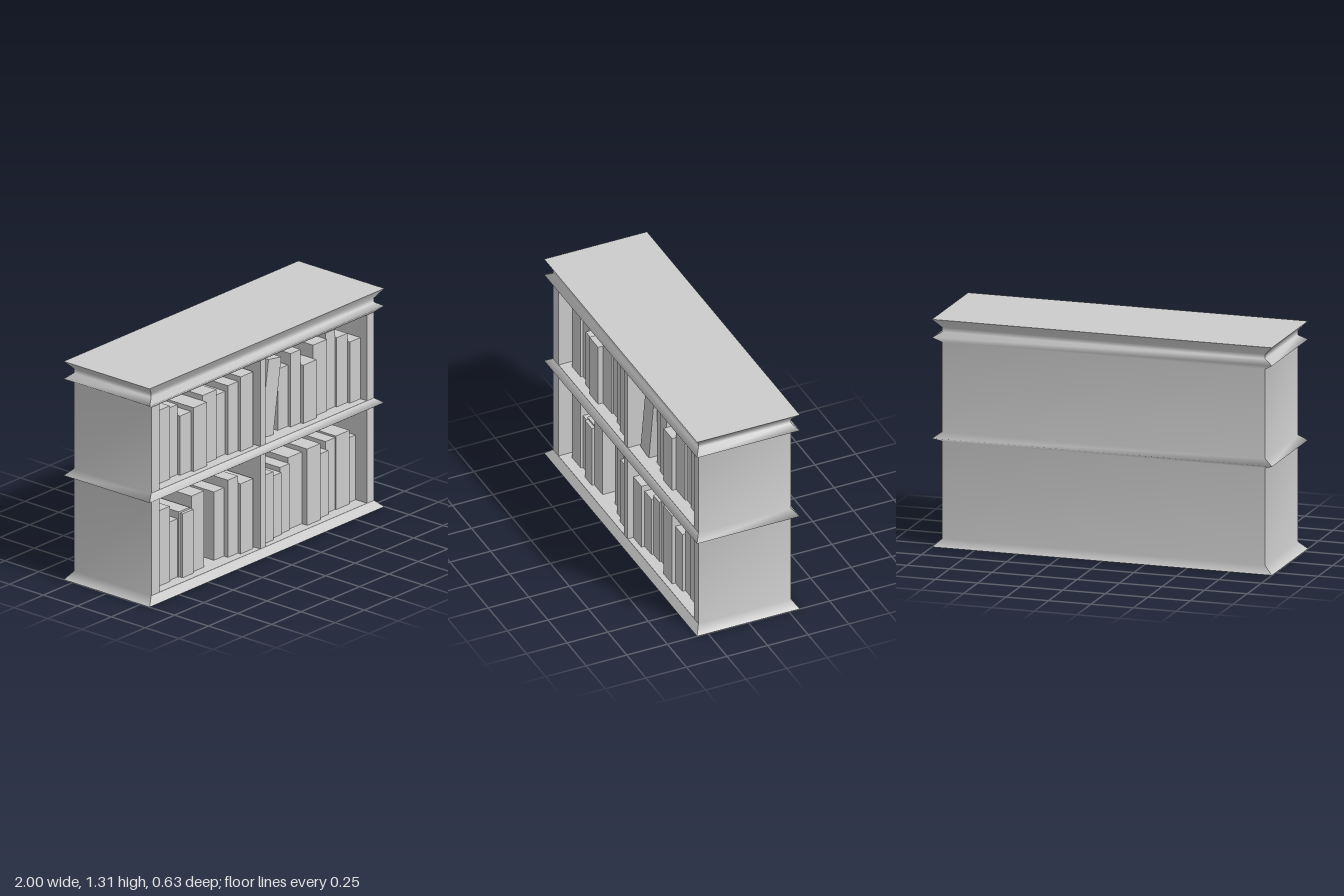
import * as THREE from 'three';

const W = 0.95, D = 0.285;          // half width and half depth of the carcass
const FX = 0.05, FZ = 0.032;        // how far the mouldings flare sideways / forwards
const BACK = -0.2;                  // inner back wall

// moulding profiles: [height, flare 0..1]
const PLINTH = [[0, 1], [0.045, 0]];
const LEDGE = [[0.605, 0], [0.625, 1], [0.66, 0]];
const CORNICE = [[1.175, 0], [1.205, 1], [1.235, 0], [1.26, 0], [1.31, 1]];

export function createModel() {
  const group = new THREE.Group();
  const mat = new THREE.MeshStandardMaterial({ color: 0xcccccc });

  const add = (geo, name) => {
    const mesh = new THREE.Mesh(geo, mat);
    mesh.name = name;
    group.add(mesh);
    return mesh;
  };

  const box = (name, x0, x1, y0, y1, z0, z1) => {
    const geo = new THREE.BoxGeometry(x1 - x0, y1 - y0, z1 - z0);
    const mesh = add(geo, name);
    mesh.position.set((x0 + x1) / 2, (y0 + y1) / 2, (z0 + z1) / 2);
    return mesh;
  };

  // One mitred face of the carcass, swept along a profile and turned to its side
  const strip = (name, profile, turn) => {
    const side = turn % 2 === 1;
    const [hw, fw, hd, fd] = side ? [D, FZ, W, FX] : [W, FX, D, FZ];
    const pos = [], idx = [];
    profile.forEach(([y, f], i) => {
      const w = hw + f * fw, d = hd + f * fd;
      pos.push(-w, y, d, w, y, d);
      if (i) {
        const a = 2 * (i - 1);
        idx.push(a, a + 1, a + 3, a, a + 3, a + 2);
      }
    });
    const geo = new THREE.BufferGeometry();
    geo.setAttribute('position', new THREE.Float32BufferAttribute(pos, 3));
    geo.setIndex(idx);
    geo.computeVertexNormals();
    geo.rotateY(turn * Math.PI / 2);
    add(geo, name);
  };

  // Outer shell: full-height sides and back, separate mouldings on the front
  const full = [...PLINTH, ...LEDGE, ...CORNICE];
  strip('leftSide', full, 1);
  strip('backPanel', full, 2);
  strip('rightSide', full, 3);
  strip('frontPlinth', PLINTH, 0);
  strip('frontLedge', LEDGE, 0);
  strip('frontCornice', CORNICE, 0);

  // Top and underside
  const cap = () => new THREE.PlaneGeometry(2 * (W + FX), 2 * (D + FZ));
  add(cap().rotateX(-Math.PI / 2).translate(0, 1.31, 0), 'topBoard');
  add(cap().rotateX(Math.PI / 2), 'underside');

  // Inner boards, kept a hair inside the shell
  const e = 0.001, w = W - e;
  box('rightPost', -w, -0.88, 0.045, 1.175, BACK, D);
  box('leftPost', 0.89, w, 0.045, 1.175, BACK, D);
  box('divider', -0.02, 0.025, 0.045, 1.175, BACK, D);
  box('innerBack', -w, w, 0.04, 1.18, BACK - 0.02, BACK);
  box('floorBoard', -w, w, 0.01, 0.045, BACK, D - e);
  box('middleShelf', -w, w, 0.605, 0.66, BACK, D - e);
  box('ceilingBoard', -w, w, 1.175, 1.22, BACK, D - e);

  // Books: [x start, x end, top, front z], one list per compartment
  const rows = [
    { base: 0.66, books: [
      [-0.88, -0.837, 1.016, 0.2], [-0.837, -0.72, 1.1, 0.223], [-0.72, -0.64, 1.08, 0.21],
      [-0.64, -0.548, 1.016, 0.23], [-0.548, -0.436, 1.043, 0.25], [-0.436, -0.318, 1.075, 0.22],
      [-0.318, -0.233, 1.037, 0.21], [-0.233, -0.147, 1.075, 0.23], [-0.147, -0.04, 1.107, 0.25]] },
    { base: 0.66, books: [
      [0.227, 0.313, 1.027, 0.2], [0.313, 0.398, 1.1, 0.22], [0.398, 0.51, 1.01, 0.24],
      [0.51, 0.628, 1.09, 0.215], [0.628, 0.709, 1.123, 0.205], [0.709, 0.8, 1.075, 0.217],
      [0.8, 0.889, 1.027, 0.236]] },
    { base: 0.045, books: [
      [-0.88, -0.837, 0.444, 0.2], [-0.837, -0.72, 0.497, 0.223], [-0.72, -0.64, 0.395, 0.21],
      [-0.64, -0.548, 0.438, 0.22], [-0.63, -0.538, 0.428, 0.24], [-0.538, -0.43, 0.503, 0.225],
      [-0.318, -0.233, 0.455, 0.2], [-0.233, -0.147, 0.508, 0.23], [-0.147, -0.04, 0.465, 0.25]] },
    { base: 0.045, books: [
      [0.026, 0.131, 0.455, 0.25], [0.131, 0.222, 0.417, 0.23], [0.222, 0.302, 0.444, 0.22],
      [0.302, 0.42, 0.476, 0.21], [0.42, 0.532, 0.503, 0.25], [0.532, 0.623, 0.428, 0.23],
      [0.623, 0.703, 0.476, 0.21], [0.703, 0.82, 0.487, 0.217], [0.82, 0.889, 0.433, 0.2]] },
  ];
  for (const { base, books } of rows)
    for (const [x0, x1, top, z] of books) box('book', x0, x1, base, top, z - 0.36, z);

  // Book leaning against its neighbour
  const leaning = box('leaningBook', 0.09, 0.2, 0.661, 1.116, -0.14, 0.22);
  leaning.position.x = 0.145;
  leaning.rotation.z = -0.153;

  return group;
}
